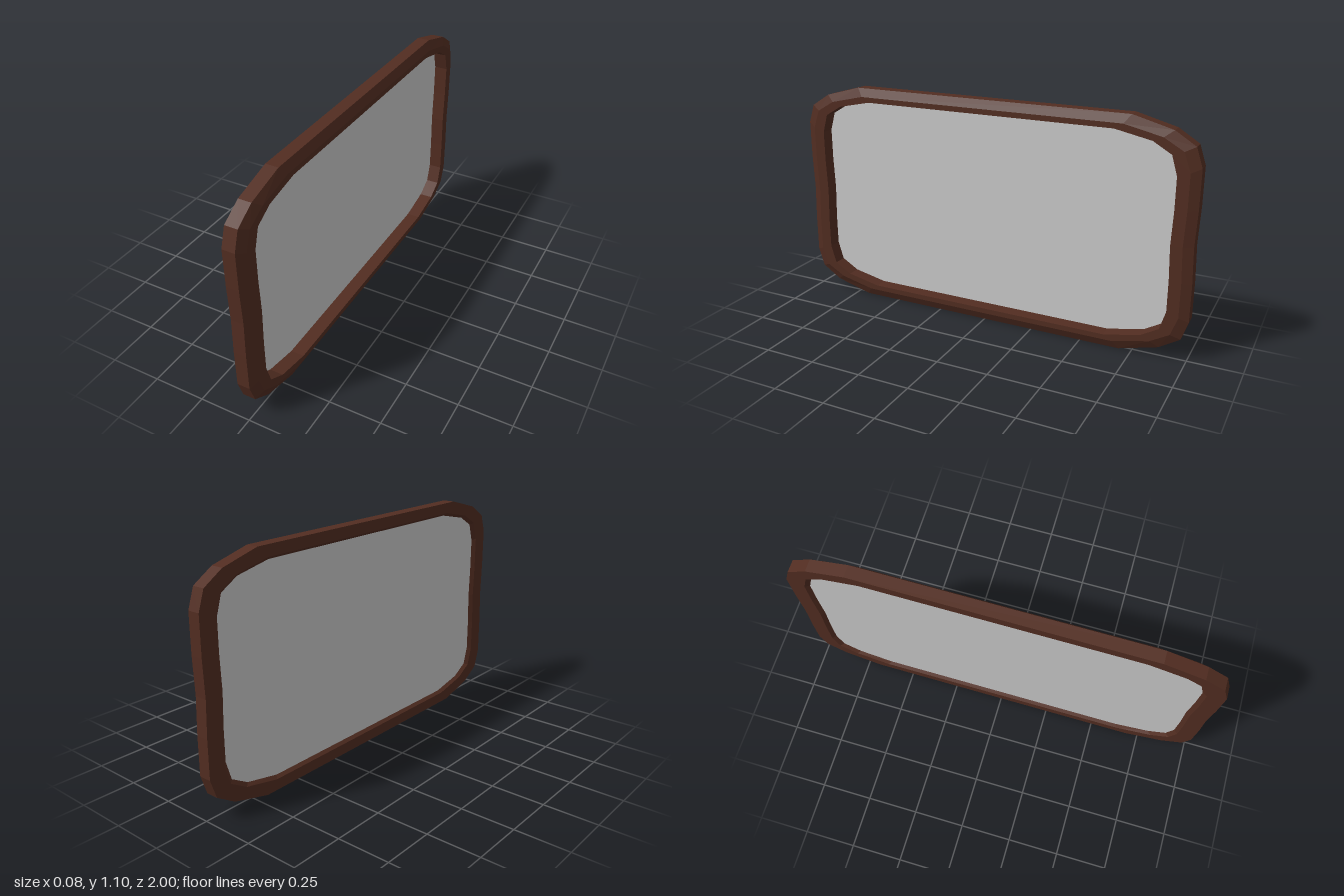
import * as THREE from 'three';

const CENTER_Y = 0.55;

// Quarter outlines as [z, y from centre], from the top rail round to mid side
const OUTER = [[0.69, 0.55], [0.875, 0.5], [0.97, 0.44], [1, 0.35], [1, 0.17], [0.994, 0]];
const RIDGE = [[0.66, 0.51], [0.835, 0.47], [0.925, 0.418], [0.957, 0.33], [0.957, 0.165], [0.95, 0]];
const INNER = [[0.62, 0.485], [0.79, 0.45], [0.875, 0.4], [0.902, 0.31], [0.902, 0.16], [0.896, 0]];
const BACK = INNER.map(([z, y], i) => [z + (OUTER[i][0] - z) * 0.2, y + (OUTER[i][1] - y) * 0.2]);

// Mirror a quarter outline into a full closed loop
function fullLoop(quarter) {
  const lower = quarter.slice(0, -1).reverse().map(([z, y]) => [z, -y]);
  const half = [...quarter, ...lower];
  return [...half, ...half.map(([z, y]) => [-z, -y])];
}

// Skin a closed ring of loops, each at its own depth x
function ringGeometry(rings) {
  const positions = [];
  const loops = rings.map(([x, quarter]) => fullLoop(quarter).map(([z, y]) => [x, y + CENTER_Y, z]));
  loops.forEach((loop, j) => {
    const next = loops[(j + 1) % loops.length];
    loop.forEach((a, i) => {
      const k = (i + 1) % loop.length;
      const b = loop[k], c = next[k], d = next[i];
      positions.push(...a, ...b, ...c, ...a, ...c, ...d);
    });
  });
  const geometry = new THREE.BufferGeometry();
  geometry.setAttribute('position', new THREE.Float32BufferAttribute(positions, 3));
  geometry.computeVertexNormals();
  return geometry;
}

export function createModel() {
  const group = new THREE.Group();

  // Wooden surround with a chamfered front edge
  const frame = new THREE.Mesh(
    ringGeometry([[-0.04, OUTER], [0.02, OUTER], [0.04, RIDGE], [0.04, INNER], [-0.025, INNER], [-0.04, BACK]]),
    new THREE.MeshStandardMaterial({ color: 0x522d21, flatShading: true })
  );
  frame.name = 'frame';
  group.add(frame);

  // Thin panel set towards the back of the frame
  const shape = new THREE.Shape(fullLoop(INNER).map(([z, y]) => new THREE.Vector2(z, y)));
  const panel = new THREE.Mesh(
    new THREE.ShapeGeometry(shape).rotateY(Math.PI / 2).translate(-0.025, CENTER_Y, 0),
    new THREE.MeshStandardMaterial({ color: 0xcccccc, side: THREE.DoubleSide })
  );
  panel.name = 'panel';
  group.add(panel);

  return group;
}
